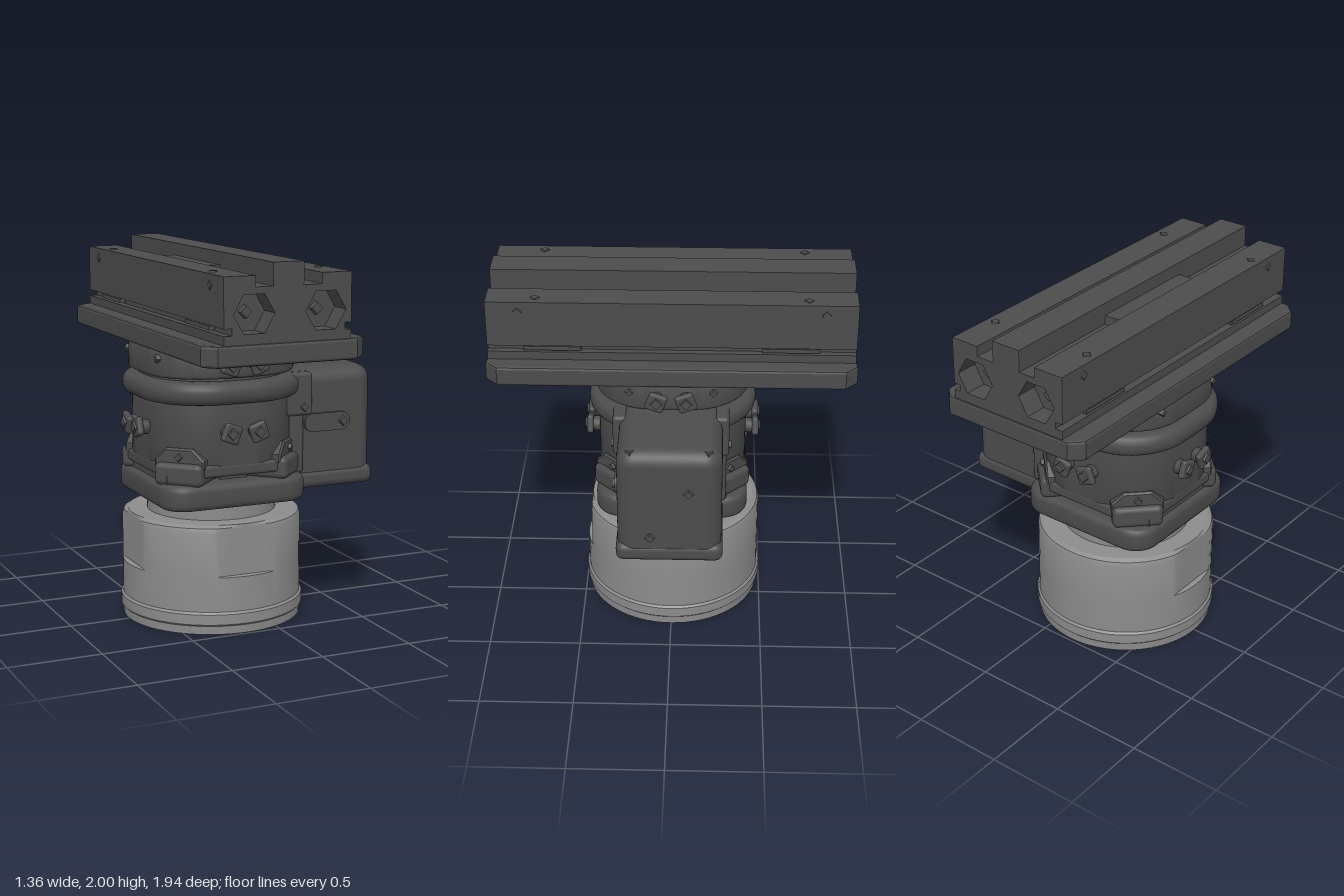
import * as THREE from 'three';
import { toCreasedNormals } from 'three/addons/utils/BufferGeometryUtils.js';
import { RoundedBoxGeometry } from 'three/addons/geometries/RoundedBoxGeometry.js';

const AXIS = -0.18; // x of the vertical axis of the round parts
const dark = new THREE.MeshStandardMaterial({ color: 0x4c4c4c });
const light = new THREE.MeshStandardMaterial({ color: 0x8c8c8c });

function add(parent, name, geo, x = 0, y = 0, z = 0, mat = dark) {
  const m = new THREE.Mesh(geo, mat);
  m.name = name;
  m.position.set(x, y, z);
  parent.add(m);
  return m;
}

// Rectangle with rounded corners, centred on the origin
function roundedRect(w, h, r) {
  const s = new THREE.Shape(), a = w / 2, b = h / 2, q = Math.PI / 2;
  s.absarc(a - r, b - r, r, 0, q);
  s.absarc(-a + r, b - r, r, q, 2 * q);
  s.absarc(-a + r, -b + r, r, 2 * q, 3 * q);
  s.absarc(a - r, -b + r, r, 3 * q, 4 * q);
  return s;
}

const polygon = (pts) => new THREE.Shape(pts.map(([x, y]) => new THREE.Vector2(x, y)));

// Upright slab from y0 to y1 with rounded plan and softened rims
function slab(size, corner, y0, y1, bevel) {
  const s = roundedRect(size - 2 * bevel, size - 2 * bevel, corner - bevel);
  const g = new THREE.ExtrudeGeometry(s, {
    depth: y1 - y0 - 2 * bevel, bevelThickness: bevel, bevelSize: bevel, bevelSegments: 4, curveSegments: 8,
  });
  g.rotateX(-Math.PI / 2).translate(0, y0 + bevel, 0);
  return toCreasedNormals(g, 0.6);
}

// Diamond-headed stud whose local +z points along dir
function stud(parent, pos, dir, size = 0.03, height = 0.012) {
  const g = new THREE.CylinderGeometry(size * 0.75, size, height * 2, 4).toNonIndexed();
  g.computeVertexNormals();
  g.rotateX(Math.PI / 2);
  const m = add(parent, 'stud', g, ...pos);
  m.quaternion.setFromUnitVectors(new THREE.Vector3(0, 0, 1), new THREE.Vector3(...dir));
  return m;
}

// Clamp bolt: thin stem, wide head and a square drive
function clampBolt(turn) {
  const b = new THREE.Group();
  b.name = 'clampBolt';
  const along = (r0, r1, len, sides, z) => {
    const g = toCreasedNormals(new THREE.CylinderGeometry(r1, r0, len, sides).rotateX(Math.PI / 2), 0.6);
    return add(b, 'boltPart', g, 0, 0, z);
  };
  along(0.04, 0.04, 0.06, 12, 0.02);
  const head = add(b, 'boltHead', new RoundedBoxGeometry(0.1, 0.1, 0.036, 2, 0.015), 0, 0, 0.048);
  head.rotation.z = turn;
  along(0.036, 0.03, 0.016, 4, 0.068);
  return b;
}

function boltPairs(parent, y, angles) {
  for (const a of angles) {
    const side = new THREE.Group();
    side.name = 'boltPair';
    side.rotation.y = a;
    for (const s of [-1, 1]) {
      const b = clampBolt(s * 0.35);
      b.position.set(s * 0.078, y, 0.405);
      side.add(b);
    }
    parent.add(side);
  }
}

function buildBase() {
  const g = new THREE.Group();
  g.name = 'base';
  g.position.x = AXIS;
  const pts = [[0, 0], [0.485, 0], [0.487, 0.045], [0.497, 0.055], [0.497, 0.11], [0.486, 0.122], [0.486, 0.308],
    [0.486, 0.312], [0.486, 0.55], [0.478, 0.572], [0.455, 0.585], [0.35, 0.585], [0.35, 0.67], [0, 0.67]];
  const geo = new THREE.LatheGeometry(pts.map(([r, y]) => new THREE.Vector2(r, y)), 72);
  // Flats cut into the front and the -x side above a ledge
  const p = geo.attributes.position;
  for (let i = 0; i < p.count; i++) {
    if (p.getY(i) < 0.31) continue;
    p.setZ(i, Math.min(p.getZ(i), 0.456));
    p.setX(i, Math.max(p.getX(i), -0.456));
  }
  add(g, 'drum', toCreasedNormals(geo, 0.5), 0, 0, 0, light);
  return g;
}

function buildBody() {
  const g = new THREE.Group();
  g.name = 'body';
  g.position.x = AXIS;
  add(g, 'lowerFlange', slab(0.825, 0.14, 0.66, 0.797, 0.035));
  // Three pads leave two narrow through slots
  for (const [x, w] of [[-0.26, 0.24], [0, 0.15], [0.26, 0.24]])
    add(g, 'spacerPad', new THREE.BoxGeometry(w, 0.05, 0.6), x, 0.815, 0);
  add(g, 'core', slab(0.8, 0.31, 0.834, 1.25, 0.012));
  add(g, 'shoulderRing', slab(0.9, 0.36, 1.215, 1.335, 0.05));
  add(g, 'neck', slab(0.76, 0.34, 1.32, 1.37, 0.01));
  add(g, 'collar', slab(0.825, 0.31, 1.35, 1.51, 0.02));

  // Stepped clamp lugs on the four corners
  const top = new THREE.ExtrudeGeometry(
    polygon([[-0.13, 0], [0.13, 0], [0.13, 0.03], [0.07, 0.085], [-0.07, 0.085], [-0.13, 0.03]]),
    { depth: 0.24, bevelSize: 0.01, bevelThickness: 0.01, bevelSegments: 1 });
  for (let i = 0; i < 4; i++) {
    const lug = new THREE.Group();
    lug.name = 'cornerLug';
    lug.rotation.y = Math.PI / 4 + i * Math.PI / 2;
    add(lug, 'lugFoot', new RoundedBoxGeometry(0.27, 0.12, 0.3, 3, 0.03), 0, 0.85, 0.33);
    add(lug, 'lugTop', top, 0, 0.892, 0.2);
    stud(lug, [0, 0.94, 0.455], [0, 0, 1], 0.025);
    g.add(lug);
  }
  // Raised bars on the sides between the lugs
  for (const a of [0, Math.PI, -Math.PI / 2]) {
    const bar = add(g, 'sideBar', new RoundedBoxGeometry(0.5, 0.07, 0.06, 2, 0.02), Math.sin(a) * 0.372, 0.865, Math.cos(a) * 0.372);
    bar.rotation.y = a;
  }

  const q = Math.PI / 2;
  boltPairs(g, 1.425, [0, q, 2 * q]);
  boltPairs(g, 1.07, [0, 2 * q, 3 * q]);
  for (let i = 0; i < 4; i++) {
    const a = i * q, c = Math.cos(a), s = Math.sin(a);
    for (const t of [-0.22, 0.22]) stud(g, [t * c + 0.395 * s, 1.45, -t * s + 0.395 * c], [s, 0, c], 0.025);
  }
  return g;
}

function buildHousing() {
  const g = new THREE.Group();
  g.name = 'sideHousing';
  add(g, 'housingShell', new RoundedBoxGeometry(0.6, 0.65, 0.545, 5, 0.085), 0.372, 1.027, 0);
  add(g, 'housingBase', new RoundedBoxGeometry(0.56, 0.105, 0.56, 3, 0.04), 0.396, 0.742, 0);
  for (const s of [-1, 1]) {
    // Bracket tying the housing to the body
    add(g, 'bracketPlate', new RoundedBoxGeometry(0.165, 0.235, 0.08, 2, 0.02), 0.203, 1.22, s * 0.268);
    add(g, 'bracketPost', new RoundedBoxGeometry(0.08, 0.55, 0.07, 2, 0.02), 0.2, 1.06, s * 0.26);
    stud(g, [0.235, 1.15, s * 0.308], [0, 0, s]);
    stud(g, [0.62, 1.335, s * 0.2], [0, 1, 0], 0.028);
    stud(g, [0.675, s > 0 ? 0.845 : 1.12, s * 0.1], [1, 0, 0]);
  }
  // Latch strip on the front
  const latch = new THREE.ExtrudeGeometry(roundedRect(0.27, 0.1, 0.045), { depth: 0.02, bevelEnabled: false, curveSegments: 6 });
  add(g, 'latch', toCreasedNormals(latch, 0.6), 0.385, 1.055, 0.268);
  stud(g, [0.48, 1.055, 0.29], [0, 0, 1], 0.034);
  return g;
}

function buildRail() {
  const g = new THREE.Group();
  g.name = 'rail';
  // Mounting plate with chamfered corners
  const w = 0.425, l = 0.955, c = 0.055;
  const plate = new THREE.ExtrudeGeometry(
    polygon([[-w, -l + c], [-w + c, -l], [w - c, -l], [w, -l + c], [w, l - c], [w - c, l], [-w + c, l], [-w, l - c]]),
    { depth: 0.08, bevelSize: 0.014, bevelThickness: 0.014, bevelSegments: 2 });
  plate.rotateX(-Math.PI / 2);
  add(g, 'mountPlate', plate, -0.183, 1.516, 0);

  // Grooved rail section with a raised centre rib
  const section = () => polygon([[-0.525, 1.605], [0.16, 1.605], [0.16, 1.655], [0.125, 1.655], [0.125, 1.69], [0.16, 1.69],
    [0.16, 1.94], [0, 1.94], [0, 1.885], [-0.1, 1.885], [-0.1, 2], [-0.265, 2], [-0.265, 1.885], [-0.357, 1.885],
    [-0.357, 1.94], [-0.525, 1.94], [-0.525, 1.69], [-0.482, 1.69], [-0.482, 1.655], [-0.525, 1.655]]);
  const depth = 0.12, half = 0.96;
  const ended = section();
  for (const x of [-0.365, 0.02]) {
    const hex = new THREE.Path();
    for (let i = 0; i < 6; i++) {
      const a = -i * Math.PI / 3;
      hex[i ? 'lineTo' : 'moveTo'](x + 0.11 * Math.cos(a), 1.755 + 0.11 * Math.sin(a));
    }
    hex.closePath();
    ended.holes.push(hex);
  }
  const extrude = (s, d) => new THREE.ExtrudeGeometry(s, { depth: d, bevelEnabled: false });
  add(g, 'railMiddle', extrude(section(), 2 * (half - depth)), 0, 0, -half + depth);
  for (const z of [-half, half - depth]) add(g, 'railEnd', extrude(ended, depth), 0, 0, z);
  add(g, 'grooveInsert', new THREE.BoxGeometry(0.09, 0.05, 0.63), -0.311, 1.908, 0.015);

  // Studs along the rail and in its end pockets
  for (const s of [-1, 1]) {
    for (const x of [-0.47, 0.105]) stud(g, [x, 1.94, s * 0.705], [0, 1, 0], 0.03, 0.006);
    stud(g, [-0.183, 1.998, s * 0.23], [0, 1, 0], 0.06, 0.002);
    for (const x of [-0.365, 0.02]) stud(g, [x, 1.755, s * (half - depth)], [0, 0, s], 0.04, 0.03);
    for (const z of [-0.795, 0.795]) stud(g, [s > 0 ? 0.158 : -0.523, 1.885, z], [s, 0, 0], 0.03, 0.006);
    // Short stops inside the side slots
    for (const z of [-0.62, 0.62]) add(g, 'slotStop', new THREE.BoxGeometry(0.03, 0.022, 0.3), s > 0 ? 0.14 : -0.505, 1.673, z);
  }
  return g;
}

export function createModel() {
  const model = new THREE.Group();
  model.name = 'railMountedUnit';
  model.add(buildBase(), buildBody(), buildHousing(), buildRail());
  return model;
}
